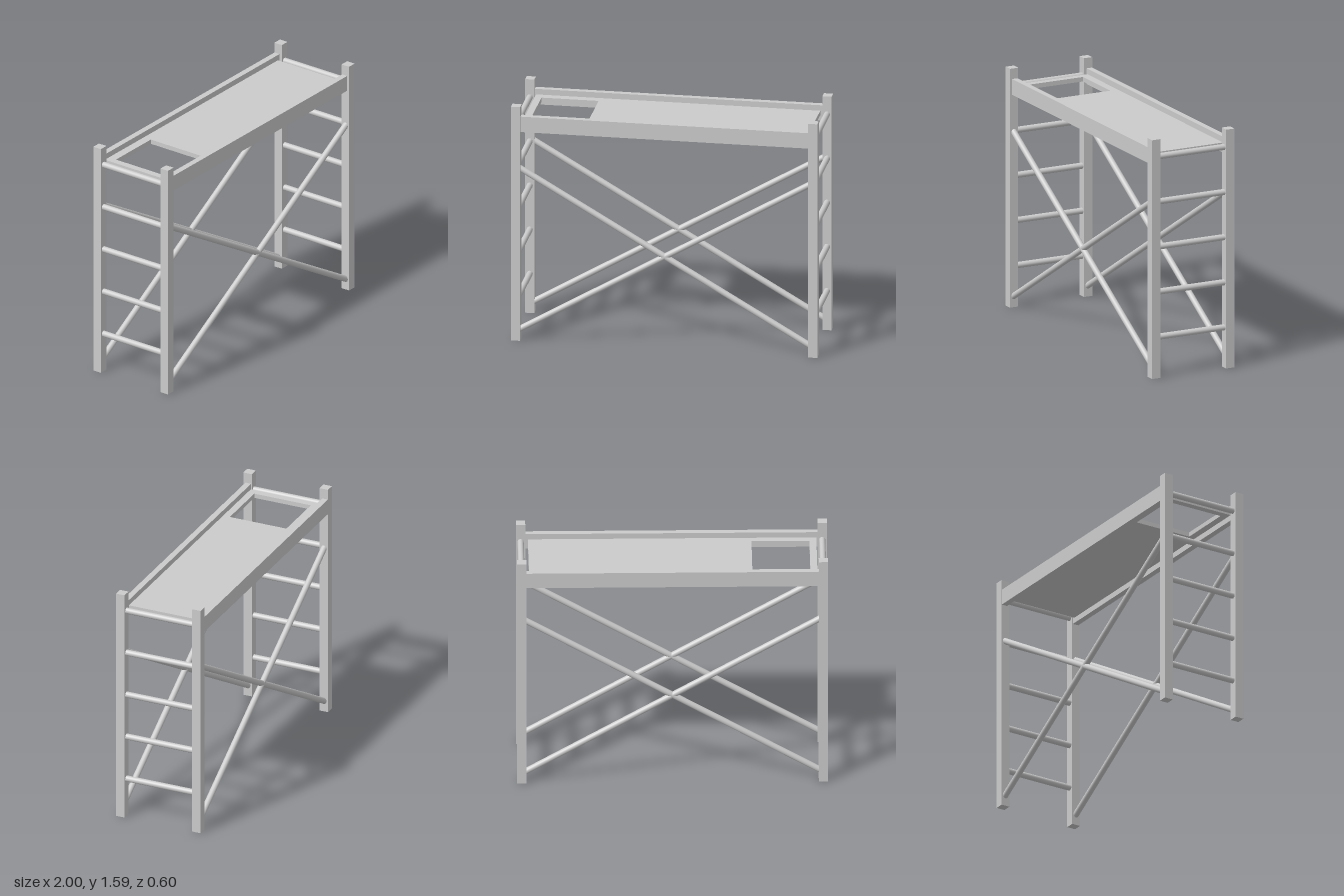
import * as THREE from 'three';

export function createModel() {
  const group = new THREE.Group();
  const material = new THREE.MeshStandardMaterial({ color: 0xcccccc });

  const add = (name, geometry, x = 0, y = 0, z = 0) => {
    const mesh = new THREE.Mesh(geometry, material);
    mesh.name = name;
    mesh.position.set(x, y, z);
    group.add(mesh);
    return mesh;
  };

  // Round tube running between two points
  const addTube = (name, from, to, radius = 0.02) => {
    const a = new THREE.Vector3(...from);
    const b = new THREE.Vector3(...to);
    const dir = b.clone().sub(a);
    const mesh = add(name, new THREE.CylinderGeometry(radius, radius, dir.length(), 24));
    mesh.position.copy(a).add(b).multiplyScalar(0.5);
    mesh.quaternion.setFromUnitVectors(new THREE.Vector3(0, 1, 0), dir.normalize());
  };

  const height = 1.594, postX = 0.97, postZ = 0.27;

  for (const sx of [-1, 1]) {
    const side = sx > 0 ? 'left' : 'right';
    // Square corner posts
    for (const sz of [-1, 1]) {
      add(`${side}${sz > 0 ? 'Front' : 'Back'}Post`,
        new THREE.BoxGeometry(0.06, height, 0.06), sx * postX, height / 2, sz * postZ);
    }
    // Ladder rungs
    for (let i = 0; i < 5; i++) {
      const y = 0.268 + i * 0.301;
      addTube(`${side}Rung${i + 1}`, [sx * postX, y, -0.25], [sx * postX, y, 0.25]);
    }
  }

  // Crossed braces on both long sides
  for (const z of [-postZ, postZ]) {
    for (const sx of [-1, 1]) {
      addTube(`${z > 0 ? 'front' : 'back'}Brace${sx > 0 ? 'Rising' : 'Falling'}`,
        [-sx * 0.955, 0.067, z], [sx * 0.955, 1.175, z]);
    }
  }

  // Side boards enclosing the platform
  const board = () => new THREE.BoxGeometry(1.88, 0.105, 0.04);
  add('frontBoard', board(), 0, 1.472, 0.265);
  add('backBoard', board(), 0, 1.472, -0.279);

  // Platform deck with a rectangular access hatch
  const rect = (path, x0, x1, z0, z1) => path
    .moveTo(x0, -z1).lineTo(x1, -z1).lineTo(x1, -z0).lineTo(x0, -z0).closePath();
  const shape = new THREE.Shape();
  rect(shape, -0.932, 0.923, -0.26, 0.246);
  const hatch = new THREE.Path();
  rect(hatch, -0.887, -0.514, -0.203, 0.198);
  shape.holes.push(hatch);
  const deck = new THREE.ExtrudeGeometry(shape, { depth: 0.03, bevelEnabled: false });
  deck.rotateX(-Math.PI / 2);
  add('deck', deck, 0, 1.457, 0);

  return group;
}
